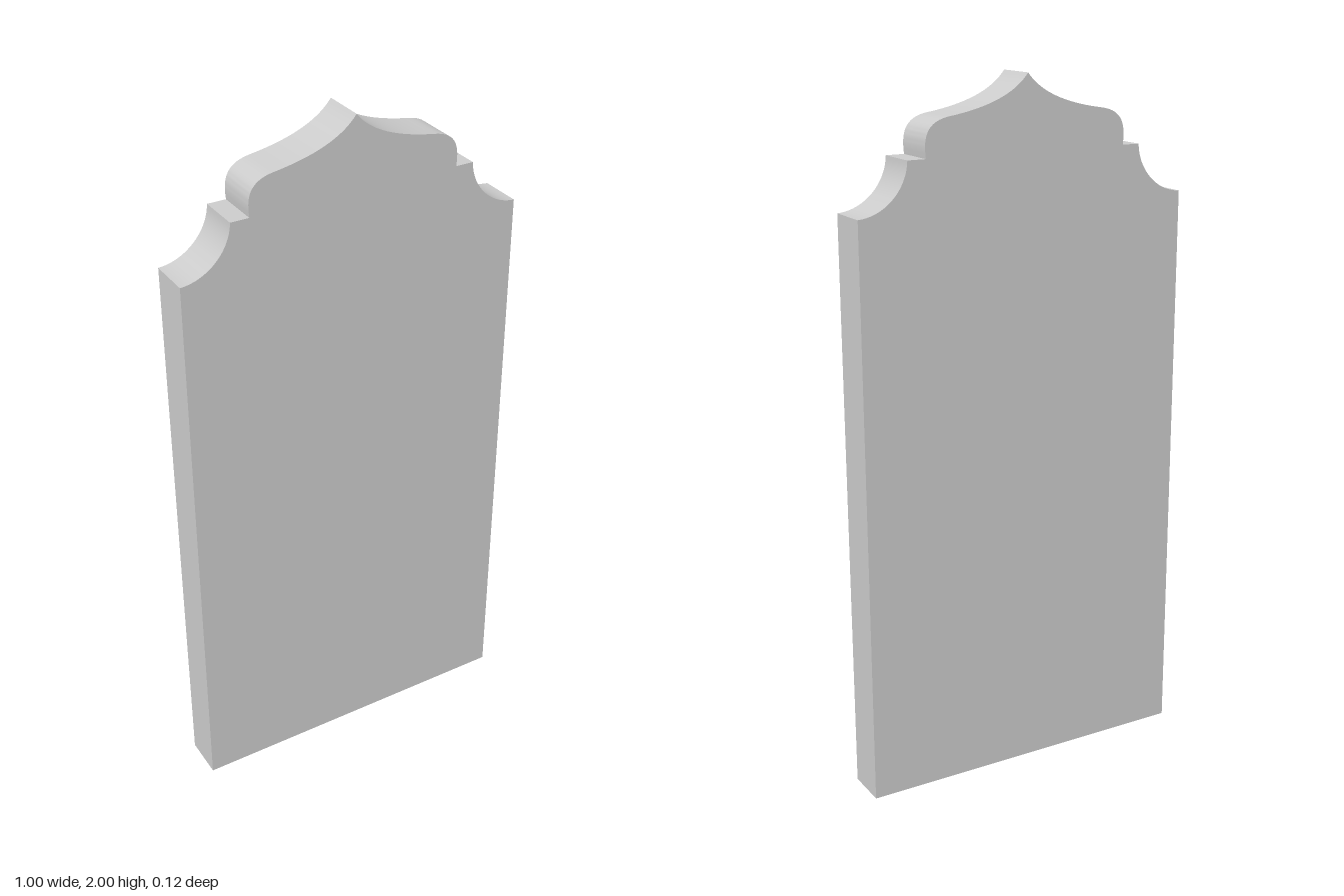
import * as THREE from 'three';
import { toCreasedNormals } from 'three/addons/utils/BufferGeometryUtils.js';

const DEPTH = 0.125;

// Half outline on the +x side, from the bottom corner up to the pointed tip
function halfOutline() {
  const path = new THREE.Path();
  path.moveTo(0.5, 0);
  path.lineTo(0.5, 1.655);
  // concave shoulder
  path.bezierCurveTo(0.425, 1.658, 0.36, 1.72, 0.357, 1.795);
  // small ledge
  path.lineTo(0.304, 1.795);
  // rounded lobe
  path.bezierCurveTo(0.31, 1.845, 0.305, 1.888, 0.235, 1.899);
  // ogee sweep to the tip
  path.bezierCurveTo(0.14, 1.913, 0.045, 1.94, 0, 2);
  return path.getPoints(20);
}

export function createModel() {
  const group = new THREE.Group();
  group.name = 'headstone';

  // Mirror the half outline, sharing the tip point
  const half = halfOutline();
  const mirrored = half.slice(0, -1).reverse().map(p => new THREE.Vector2(-p.x, p.y));
  const shape = new THREE.Shape([...half, ...mirrored]);

  // Flat slab with smooth curved edges and crisp corners
  const slab = new THREE.ExtrudeGeometry(shape, { depth: DEPTH, bevelEnabled: false });
  slab.translate(0, 0, -DEPTH / 2);
  const mesh = new THREE.Mesh(
    toCreasedNormals(slab, 0.5),
    new THREE.MeshStandardMaterial({ color: 0xcccccc })
  );
  mesh.name = 'slab';
  group.add(mesh);
  return group;
}
